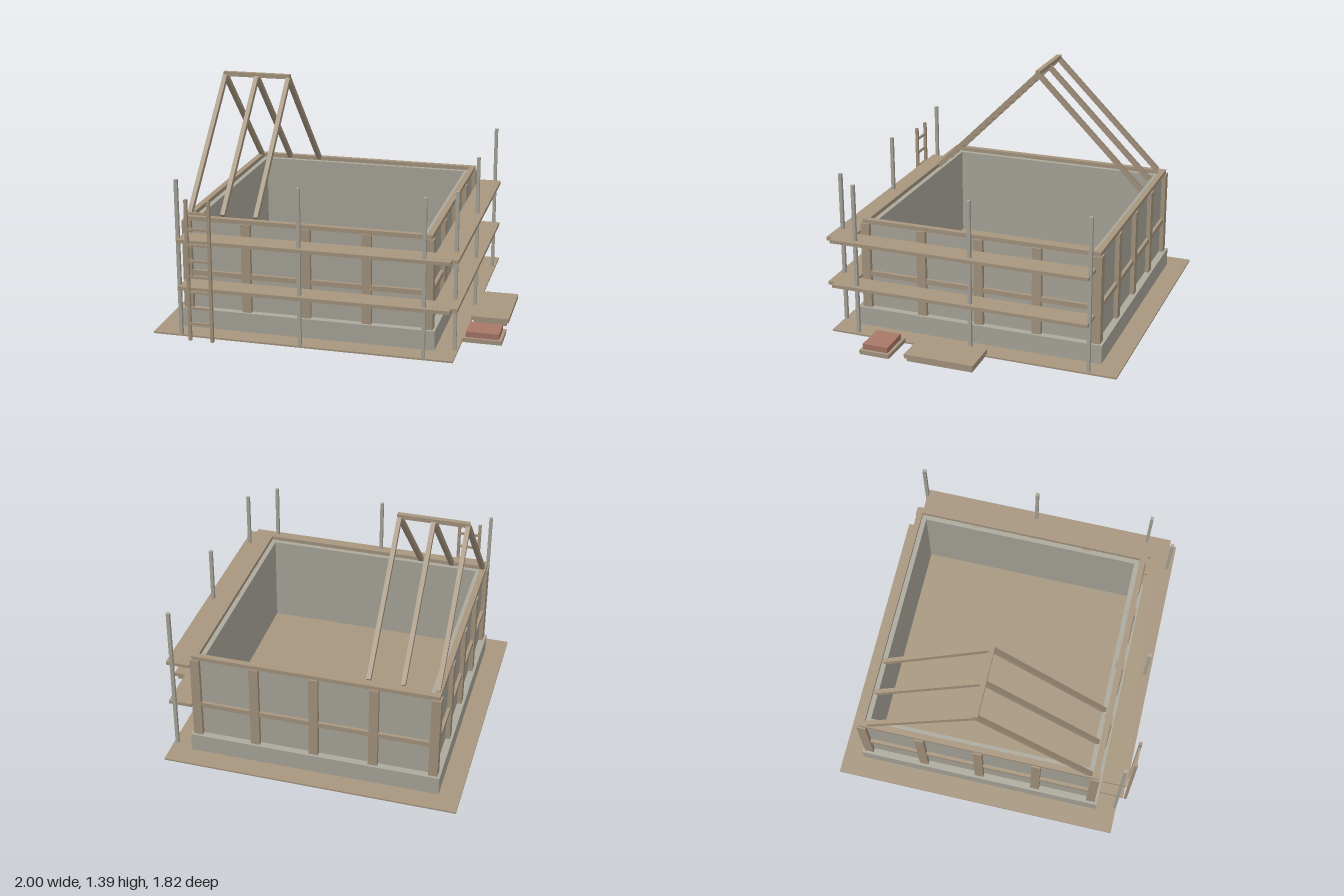
import * as THREE from 'three';

const wood = new THREE.MeshStandardMaterial({ color: 0xa89780 });
wood.name = 'timber';
const plaster = new THREE.MeshStandardMaterial({ color: 0xaca99d });
plaster.name = 'stone grey';
const clay = new THREE.MeshStandardMaterial({ color: 0xa87868 });
clay.name = 'brick red';

// Box given by its limits on each axis
function box(parent, name, mat, [x0, x1], [y0, y1], [z0, z1]) {
  const mesh = new THREE.Mesh(new THREE.BoxGeometry(x1 - x0, y1 - y0, z1 - z0), mat);
  mesh.position.set((x0 + x1) / 2, (y0 + y1) / 2, (z0 + z1) / 2);
  mesh.name = name;
  parent.add(mesh);
  return mesh;
}

const around = (c, w) => [c - w / 2, c + w / 2];

function group(parent, name) {
  const g = new THREE.Group();
  g.name = name;
  parent.add(g);
  return g;
}

// Square ring extruded upwards
function ring(parent, name, mat, outer, inner, y0, y1) {
  const square = (T, r) => new T().moveTo(-r, -r).lineTo(r, -r).lineTo(r, r).lineTo(-r, r).closePath();
  const shape = square(THREE.Shape, outer);
  shape.holes.push(square(THREE.Path, inner));
  const geo = new THREE.ExtrudeGeometry(shape, { depth: y1 - y0, bevelEnabled: false });
  geo.rotateX(-Math.PI / 2);
  const mesh = new THREE.Mesh(geo, mat);
  mesh.position.y = y0;
  mesh.name = name;
  parent.add(mesh);
}

export function createModel() {
  const model = new THREE.Group();
  model.name = 'houseUnderConstruction';

  box(model, 'ground', wood, [-1, 0.77], [0, 0.01], [-0.91, 0.855]);

  // House shell, centred on its own origin
  const house = group(model, 'house');
  house.position.set(-0.115, 0, -0.027);
  ring(house, 'foundation', plaster, 0.757, 0.668, 0.005, 0.125);
  ring(house, 'wall', plaster, 0.715, 0.668, 0.125, 0.66);
  ring(house, 'topPlate', wood, 0.732, 0.697, 0.66, 0.685);
  box(house, 'floor', wood, [-0.668, 0.668], [0.01, 0.1], [-0.668, 0.668]);

  // Timber frame, one side at a time
  for (let side = 0; side < 4; side++) {
    const frame = group(house, 'frameSide');
    frame.rotation.y = side * Math.PI / 2;
    for (let i = 0; i < 4; i++) {
      box(frame, 'post', wood, around(-0.714 + i * 0.357, 0.055), [0.125, 0.66], around(0.714, 0.055));
      box(frame, 'rail', wood, around(-0.714 + (i + 0.5) * 0.357, 0.302), [0.328, 0.358], [0.705, 0.735]);
    }
  }

  // Three rafter pairs and the ridge
  const roof = group(model, 'roofFrame');
  const run = 0.672, foot = 0.692, apex = 1.364;
  const length = Math.hypot(run, apex - foot) + 0.02;
  for (const x of [-0.825, -0.625, -0.425]) {
    for (const s of [-1, 1]) {
      const rafter = box(roof, 'rafter', wood, around(x, 0.026), around(0, 0.03), around(0, length));
      rafter.position.set(x, (foot + apex) / 2, -0.025 + s * run / 2);
      rafter.rotation.x = s * Math.atan2(apex - foot, run);
    }
  }
  box(roof, 'ridge', wood, [-0.833, -0.412], [1.36, 1.387], around(-0.025, 0.03));

  // Scaffold on the front and left sides
  const scaffold = group(model, 'scaffold');
  for (const [x, z] of [[-0.83, 0.845], [-0.115, 0.845], [0.6, 0.845], [0.75, 0.69], [0.75, -0.025], [0.75, -0.74]])
    box(scaffold, 'pole', plaster, around(x, 0.02), [0, 0.945], around(z, 0.02));
  for (const y of [0.293, 0.577]) {
    box(scaffold, 'frontPlank', wood, [-0.83, 0.75], [y, y + 0.021], [0.735, 0.877]);
    box(scaffold, 'sidePlank', wood, [0.645, 0.787], [y + 0.001, y + 0.022], [-0.74, 0.837]);
  }

  // Ladder
  const ladder = group(model, 'ladder');
  for (const x of [-0.755, -0.622])
    box(ladder, 'ladderRail', wood, around(x, 0.018), [0, 0.848], around(0.9, 0.018));
  for (let i = 0; i < 8; i++)
    box(ladder, 'rung', wood, [-0.75, -0.626], around(0.105 + i * 0.095, 0.014), around(0.9, 0.012));

  // Material stacks
  const stacks = group(model, 'materialStacks');
  box(stacks, 'lowerBoards', wood, [0.79, 0.985], [0.008, 0.032], [-0.13, 0.272]);
  box(stacks, 'upperBoards', wood, [0.775, 1], [0.032, 0.057], [-0.14, 0.283]);
  box(stacks, 'pallet', wood, [0.77, 1], [0.008, 0.034], [0.378, 0.565]);
  box(stacks, 'bricks', clay, [0.79, 0.982], [0.034, 0.068], [0.395, 0.55]);

  return model;
}
